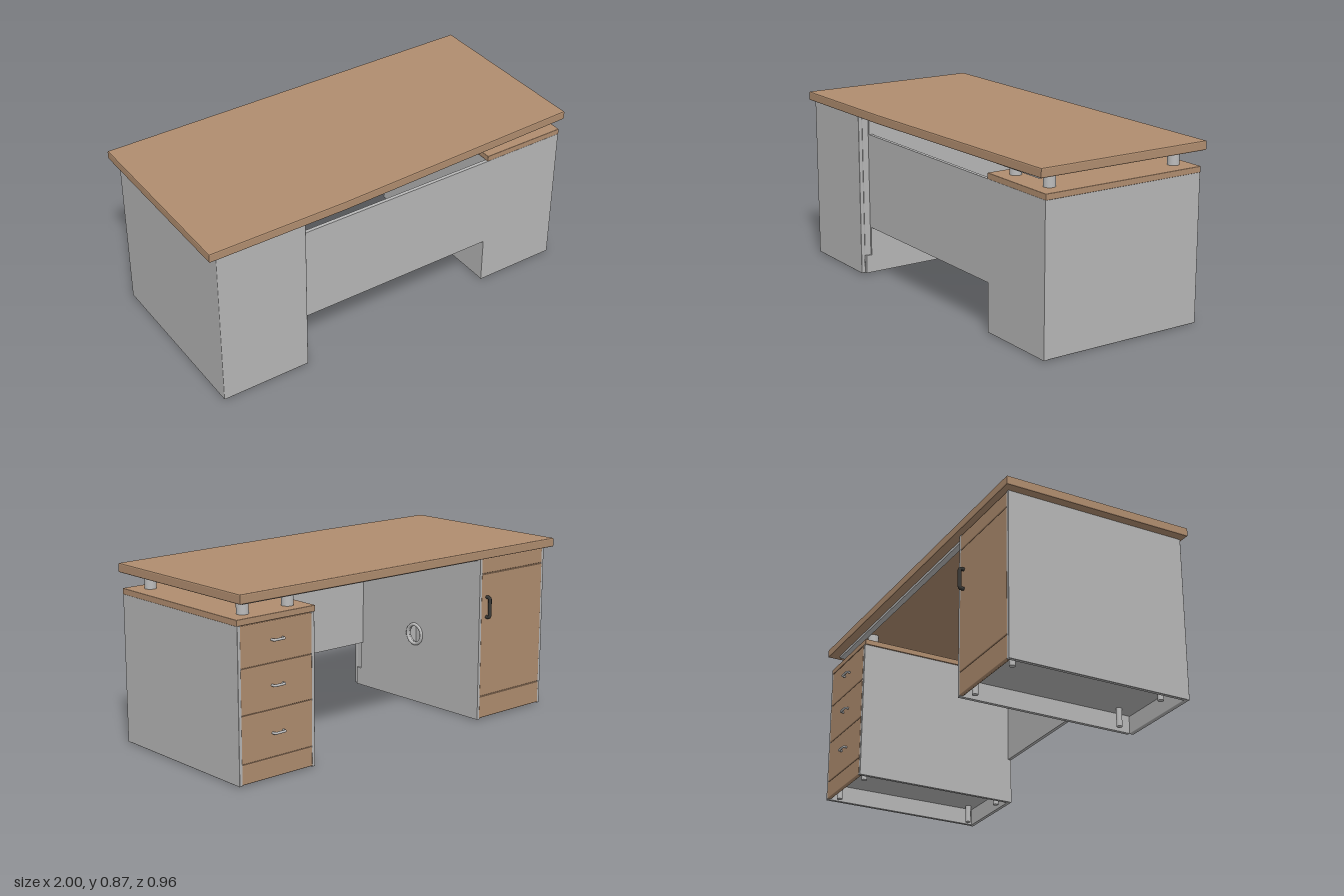
import * as THREE from 'three';
import { RoundedBoxGeometry } from 'three/addons/geometries/RoundedBoxGeometry.js';

const mat = (name, color) => {
  const m = new THREE.MeshStandardMaterial({ color });
  m.name = name;
  return m;
};

export function createModel() {
  const wood = mat('wood', 0xb08d6f);
  const grey = mat('greyPanel', 0xb6b6b6);
  const metal = mat('metal', 0xbcbcbc);
  const black = mat('blackHandle', 0x3c3b38);
  const desk = new THREE.Group();
  desk.name = 'desk';

  const add = (parent, name, geo, material, x = 0, y = 0, z = 0) => {
    const m = new THREE.Mesh(geo, material);
    m.name = name;
    m.position.set(x, y, z);
    parent.add(m);
    return m;
  };
  // Box given by its limits, with optional rounded edges
  const slab = (parent, name, material, x0, x1, y0, y1, z0, z1, r = 0) => {
    const s = [x1 - x0, y1 - y0, z1 - z0];
    const geo = r ? new RoundedBoxGeometry(...s, 2, r) : new THREE.BoxGeometry(...s);
    return add(parent, name, geo, material, (x0 + x1) / 2, (y0 + y1) / 2, (z0 + z1) / 2);
  };
  const group = (name) => {
    const g = new THREE.Group();
    g.name = name;
    desk.add(g);
    return g;
  };

  // Tabletop with a slanted front edge
  const b = 0.006;
  const outline = new THREE.Shape([
    [-1 + b, 0.478 - b], [-0.3, 0.478 - b], [1 - b, 0.436 - b], [1 - b, -0.478 + b], [-1 + b, -0.478 + b],
  ].map(([x, z]) => new THREE.Vector2(x, -z)));
  const topGeo = new THREE.ExtrudeGeometry(outline, {
    depth: 0.045 - 2 * b, bevelEnabled: true, bevelSize: b, bevelThickness: b, bevelSegments: 2,
  });
  topGeo.rotateX(-Math.PI / 2);
  add(desk, 'tabletop', topGeo, wood, 0, 0.82 + b, 0);

  // Support frame under the tabletop
  const frame = group('supportFrame');
  for (const [z0, z1] of [[0.38, 0.41], [-0.43, -0.40]]) {
    slab(frame, 'longRail', metal, -0.497, 0.95, 0.806, 0.821, z0, z1);
  }
  slab(frame, 'endRail', metal, 0.92, 0.95, 0.806, 0.821, -0.40, 0.38);

  // Adjustable feet, just inside the plinth
  const feet = (parent, x0, x1) => {
    for (const x of [x0 + 0.06, x1 - 0.06]) for (const z of [-0.40, 0.35]) {
      add(parent, 'foot', new THREE.CylinderGeometry(0.014, 0.014, 0.09, 16), metal, x, 0.045, z);
    }
  };
  // Wooden fronts stacked between the given heights, with fine gaps
  const fronts = (parent, name, x0, x1, levels) => {
    for (let i = 0; i + 1 < levels.length; i++) {
      slab(parent, name, wood, x0 + 0.006, x1 - 0.006, levels[i] + 0.0015, levels[i + 1] - 0.0015, -0.451, -0.433, 0.004);
    }
    slab(parent, name + 'Backing', wood, x0 + 0.008, x1 - 0.008, levels[0] + 0.004, levels[levels.length - 1] - 0.004, -0.446, -0.43);
  };
  // Bowed pull: two posts and a bar, built along the given direction
  const pull = (parent, name, material, length, reach, r, vertical) => {
    const h = length / 2;
    const pts = [[-h, 0], [-h, -reach * 0.8], [-h * 0.85, -reach], [h * 0.85, -reach], [h, -reach * 0.8], [h, 0]];
    const path = new THREE.CurvePath();
    const v = pts.map(([a, z]) => (vertical ? new THREE.Vector3(0, a, z) : new THREE.Vector3(a, 0, z)));
    for (let i = 0; i + 1 < v.length; i++) path.add(new THREE.LineCurve3(v[i], v[i + 1]));
    return add(parent, name, new THREE.TubeGeometry(path, 40, r, 8), material);
  };

  // Tall cabinet with a door
  const tall = group('tallCabinet');
  slab(tall, 'outerSide', grey, -0.96, -0.942, 0.003, 0.82, -0.45, 0.45, 0.003);
  slab(tall, 'frontPanel', grey, -0.96, -0.505, 0.003, 0.82, 0.443, 0.465, 0.004);
  slab(tall, 'floor', grey, -0.942, -0.513, 0.09, 0.106, -0.432, 0.443);
  slab(tall, 'lid', grey, -0.942, -0.513, 0.80, 0.82, -0.432, 0.443);
  slab(tall, 'plinthEnd', grey, -0.513, -0.496, 0.003, 0.095, 0.41, 0.44);
  slab(tall, 'sideFiller', grey, -0.513, -0.506, 0.095, 0.82, 0.41, 0.443);
  // Inner side with a round cable opening
  const side = new THREE.Shape([[-0.45, 0.003], [0.41, 0.003], [0.41, 0.82], [-0.45, 0.82]]
    .map(([z, y]) => new THREE.Vector2(z, y)));
  const hole = new THREE.Path();
  hole.absarc(0, 0.36, 0.045, 0, Math.PI * 2, true);
  side.holes.push(hole);
  const sideGeo = new THREE.ExtrudeGeometry(side, { depth: 0.017, bevelEnabled: false, curveSegments: 24 });
  sideGeo.rotateY(-Math.PI / 2);
  add(tall, 'innerSide', sideGeo, grey, -0.496, 0, 0);
  const grommet = add(tall, 'cableGrommet', new THREE.TorusGeometry(0.05, 0.009, 8, 32), metal, -0.496, 0.36, 0);
  grommet.rotation.y = Math.PI / 2;
  fronts(tall, 'door', -0.952, -0.503, [0.006, 0.12, 0.74, 0.817]);
  pull(tall, 'doorHandle', black, 0.1, 0.024, 0.009, true).position.set(-0.545, 0.572, -0.449);
  feet(tall, -0.96, -0.505);

  // Low drawer cabinet
  const low = group('drawerCabinet');
  slab(low, 'outerSide', grey, 0.978, 0.996, 0.003, 0.722, -0.45, 0.40, 0.003);
  slab(low, 'innerSide', grey, 0.565, 0.583, 0.003, 0.722, -0.45, 0.40, 0.003);
  slab(low, 'floor', grey, 0.583, 0.978, 0.09, 0.106, -0.432, 0.392);
  slab(low, 'woodenLid', wood, 0.56, 0.999, 0.721, 0.75, -0.45, 0.41, 0.003);
  fronts(low, 'drawerFront', 0.575, 0.988, [0.006, 0.1, 0.32, 0.53, 0.72]);
  for (const y of [0.635, 0.43, 0.213]) {
    pull(low, 'drawerHandle', metal, 0.06, 0.02, 0.006, false).position.set(0.78, y, -0.449);
  }
  feet(low, 0.565, 0.996);

  // Spacers carrying the tabletop above the drawer cabinet
  for (const x of [0.652, 0.903]) for (const z of [0.322, -0.368]) {
    add(low, 'spacer', new THREE.CylinderGeometry(0.028, 0.028, 0.072, 24), metal, x, 0.785, z);
  }

  // Front panel: knee screen and drawer cabinet front in one piece
  const screen = new THREE.Shape([
    [-0.497, 0.24], [0.565, 0.24], [0.565, 0.003], [0.996, 0.003], [0.996, 0.722], [-0.497, 0.722],
  ].map(([x, y]) => new THREE.Vector2(x, y)));
  add(desk, 'frontScreen', new THREE.ExtrudeGeometry(screen, { depth: 0.018, bevelEnabled: false }), grey, 0, 0, 0.392);

  return desk;
}
